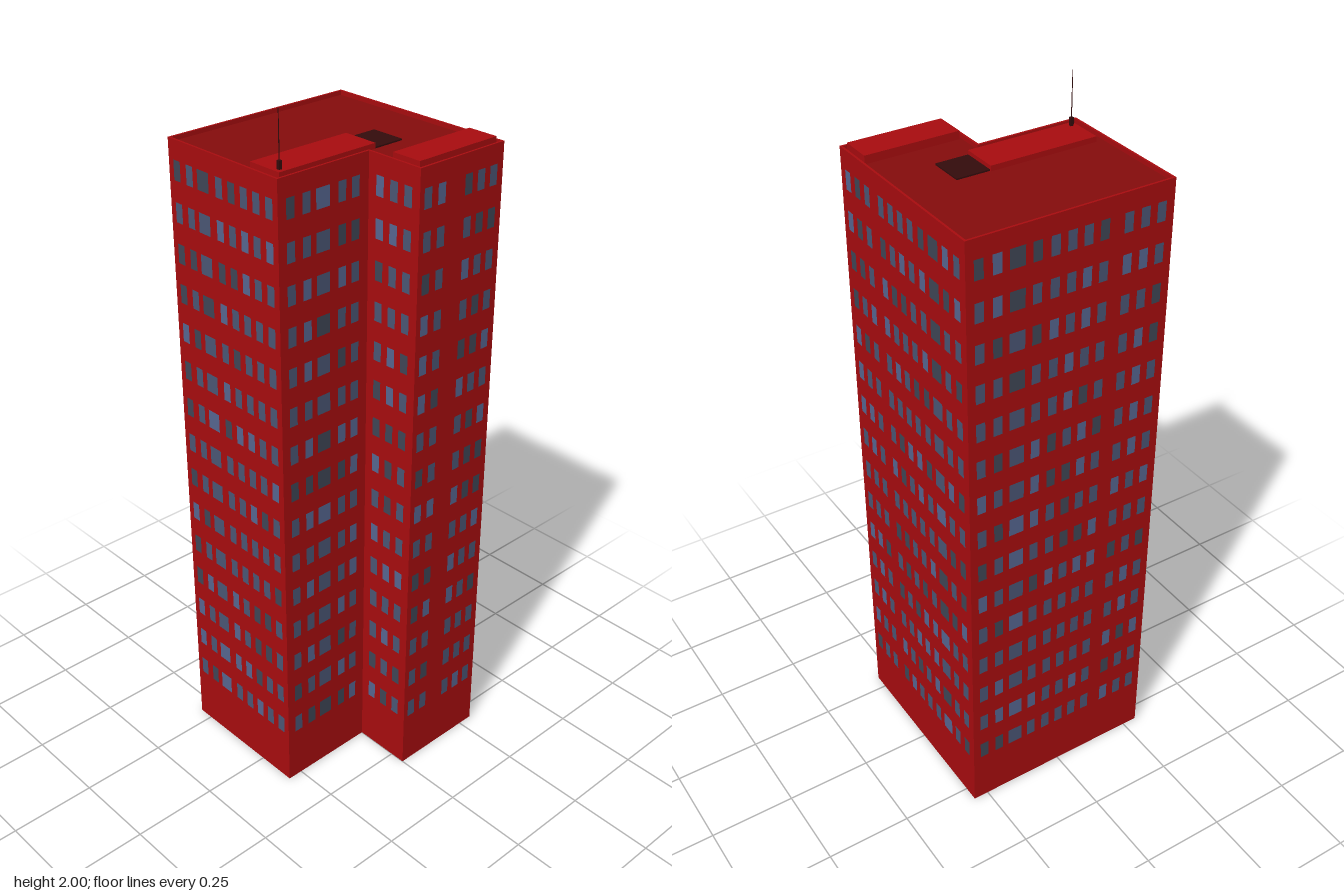
import * as THREE from 'three';
import { mergeGeometries } from 'three/addons/utils/BufferGeometryUtils.js';

const material = (color) => new THREE.MeshStandardMaterial({ color });

export function createModel() {
  const model = new THREE.Group();
  const red = material(0xa80c0f);
  const deckRed = material(0x850c0c);
  const dark = material(0x330c0c);
  const glass = [0x4a5674, 0x566690, 0x3f4656].map(material);

  const add = (name, geometry, mat) => {
    const mesh = new THREE.Mesh(geometry, mat);
    mesh.name = name;
    model.add(mesh);
    return mesh;
  };
  const box = (name, x0, x1, y0, y1, z0, z1, mat) =>
    add(name, new THREE.BoxGeometry(x1 - x0, y1 - y0, z1 - z0), mat)
      .position.set((x0 + x1) / 2, (y0 + y1) / 2, (z0 + z1) / 2);

  // L-shaped floor plan, optionally inset; drawn as (x, -z)
  const plan = (d) => [
    [-0.295 + d, 0.295 - d], [0.12 - d, 0.295 - d], [0.12 - d, -d],
    [0.295 - d, -d], [0.295 - d, -0.295 + d], [-0.295 + d, -0.295 + d],
  ].map(([x, z]) => new THREE.Vector2(x, -z));
  const extrude = (shape, y0, y1) =>
    new THREE.ExtrudeGeometry(shape, { depth: y1 - y0, bevelEnabled: false })
      .rotateX(-Math.PI / 2).translate(0, y0, 0);

  // Tower, roof deck and parapet
  const deckY = 1.838, topY = 1.85;
  add('tower', extrude(new THREE.Shape(plan(0)), 0, deckY - 0.001), red);
  add('roofDeck', new THREE.ShapeGeometry(new THREE.Shape(plan(0.005)))
    .rotateX(-Math.PI / 2).translate(0, deckY, 0), deckRed);
  const rim = new THREE.Shape(plan(0));
  rim.holes.push(new THREE.Path(plan(0.006)));
  add('parapet', extrude(rim, deckY - 0.001, topY), red);

  // Window columns of each wall: [position along wall, width]
  const W = 0.026, PAIR = 0.044;
  const columns = (list, pair) => [...list.map((p) => [p, W]), ...(pair === undefined ? [] : [[pair, PAIR]])];
  const full = [-0.26, -0.21, -0.1, -0.05, -0.003, 0.043, 0.09, 0.16, 0.209, 0.257];
  const walls = [
    { axis: 'z', at: 0.295, dir: 1, cols: columns([-0.262, -0.212, -0.097, -0.05, -0.003, 0.043, 0.09], -0.159) },
    { axis: 'z', at: 0, dir: 1, cols: columns([0.161, 0.209, 0.257]) },
    { axis: 'x', at: 0.12, dir: 1, cols: columns([0.257, 0.206, 0.09, 0.045], 0.153) },
    { axis: 'x', at: 0.295, dir: 1, cols: columns([-0.027, -0.075, -0.17, -0.215, -0.26]) },
    { axis: 'z', at: -0.295, dir: -1, cols: columns(full, -0.155) },
    { axis: 'x', at: -0.295, dir: -1, cols: columns(full, -0.155) },
  ];

  // Fifteen storeys of panes, sorted into three glass tones
  const panes = [[], [], []];
  let seed = 7;
  const random = () => (seed = (seed * 16807) % 2147483647) / 2147483647;
  for (const { axis, at, dir, cols } of walls) {
    for (let floor = 0; floor < 15; floor++) {
      const y = 0.195 + floor * 0.1125;
      for (const [p, width] of cols) {
        const pane = new THREE.PlaneGeometry(width, 0.054);
        const out = at + dir * 0.0015;
        if (axis === 'z') pane.rotateY(dir > 0 ? 0 : Math.PI).translate(p, y, out);
        else pane.rotateY(dir * Math.PI / 2).translate(out, y, p);
        const r = random();
        panes[r < 0.6 ? 0 : r < 0.8 ? 1 : 2].push(pane);
      }
    }
  }
  panes.forEach((list, i) => add('windows' + (i + 1), mergeGeometries(list), glass[i]));

  // Rooftop slabs and hatch
  box('sideRoofSlab', 0.19, 0.28, deckY, 1.861, -0.282, -0.012, red);
  box('frontRoofSlab', -0.009, 0.096, deckY, 1.853, -0.045, 0.268, red);
  box('roofHatch', -0.005, 0.095, deckY, 1.842, -0.139, -0.045, dark);

  // Antenna
  box('antennaBase', 0.075, 0.084, 1.853, 1.875, 0.248, 0.257, dark);
  add('antennaMast', new THREE.CylinderGeometry(0.001, 0.0015, 0.125, 6), dark)
    .position.set(0.0795, 1.9375, 0.2525);

  return model;
}
